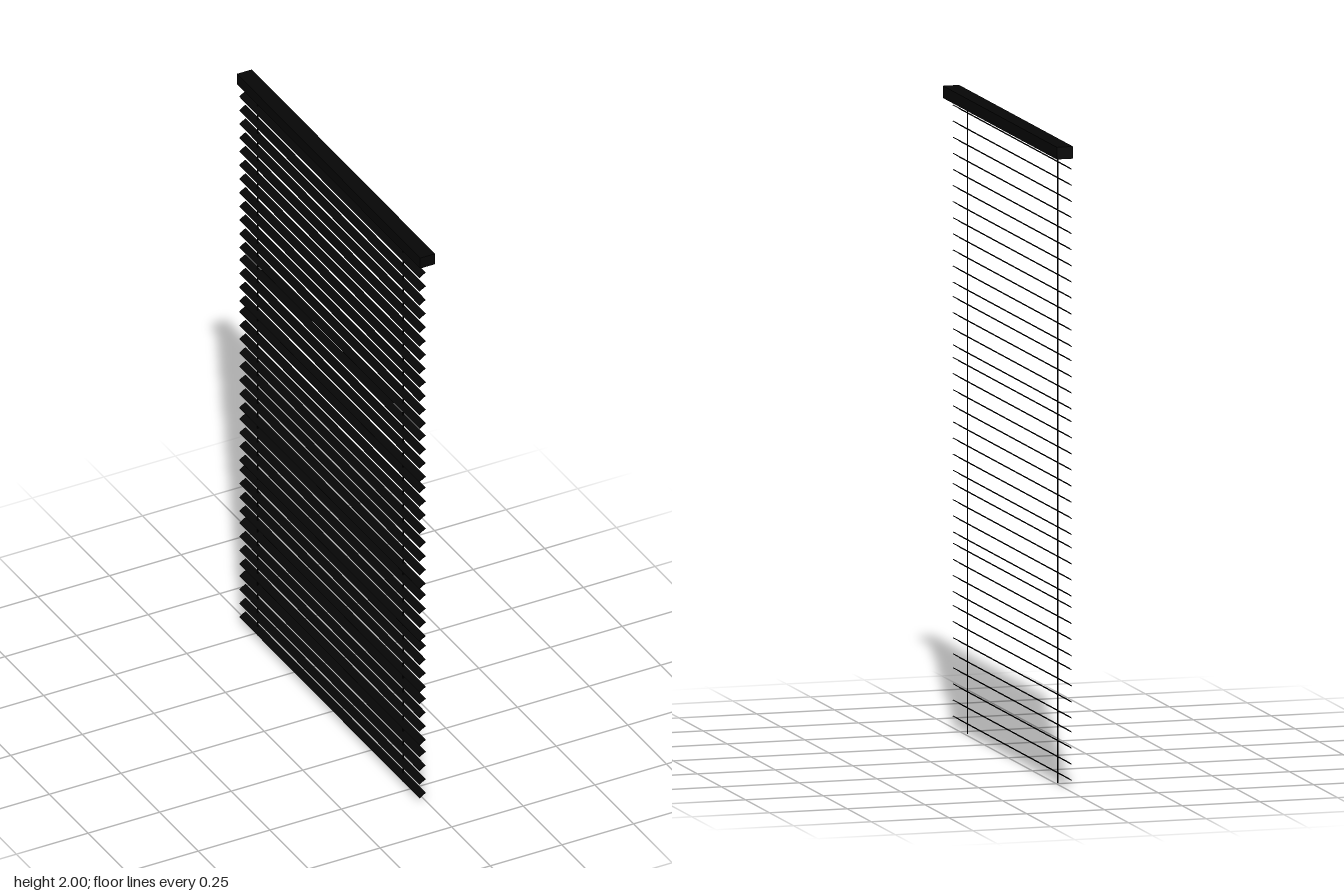
import * as THREE from 'three';

const black = new THREE.MeshStandardMaterial({ color: 0x060606 });

function add(group, name, geometry, x, y, z) {
  const mesh = new THREE.Mesh(geometry, black);
  mesh.name = name;
  mesh.position.set(x, y, z);
  group.add(mesh);
}

// Thin, slightly crowned strip running along z, tilted up towards +x
function slatGeometry(width, thickness, length, crown, tilt) {
  const g = new THREE.BoxGeometry(width, thickness, length, 4, 1, 1);
  const p = g.attributes.position;
  for (let i = 0; i < p.count; i++) {
    const t = p.getX(i) / (width / 2);
    p.setY(i, p.getY(i) + crown * (0.5 - t * t));
  }
  g.rotateZ(tilt);
  g.computeVertexNormals();
  return g;
}

export function createModel() {
  const blind = new THREE.Group();
  blind.name = 'venetianBlind';

  // Head rail
  add(blind, 'headRail', new THREE.BoxGeometry(0.052, 0.038, 1.185), 0.001, 1.981, 0);

  // Slats in evenly stepped runs: [height of top slat, count]
  const slats = new THREE.Group();
  slats.name = 'slats';
  blind.add(slats);
  const geometry = slatGeometry(0.026, 0.0025, 1.164, 0.001, 0.56);
  const runs = [[1.933, 12], [1.336, 4], [1.146, 8], [0.753, 4], [0.567, 4], [0.373, 4], [0.179, 4]];
  for (const [top, count] of runs) {
    for (let i = 0; i < count; i++) {
      add(slats, 'slat', geometry, -0.015, top - i * 0.0502, 0.007);
    }
  }

  // Ladder cords
  for (const z of [0.453, -0.487]) {
    add(blind, 'cord', new THREE.CylinderGeometry(0.0022, 0.0022, 1.97, 8), -0.009, 0.985, z);
  }
  return blind;
}
